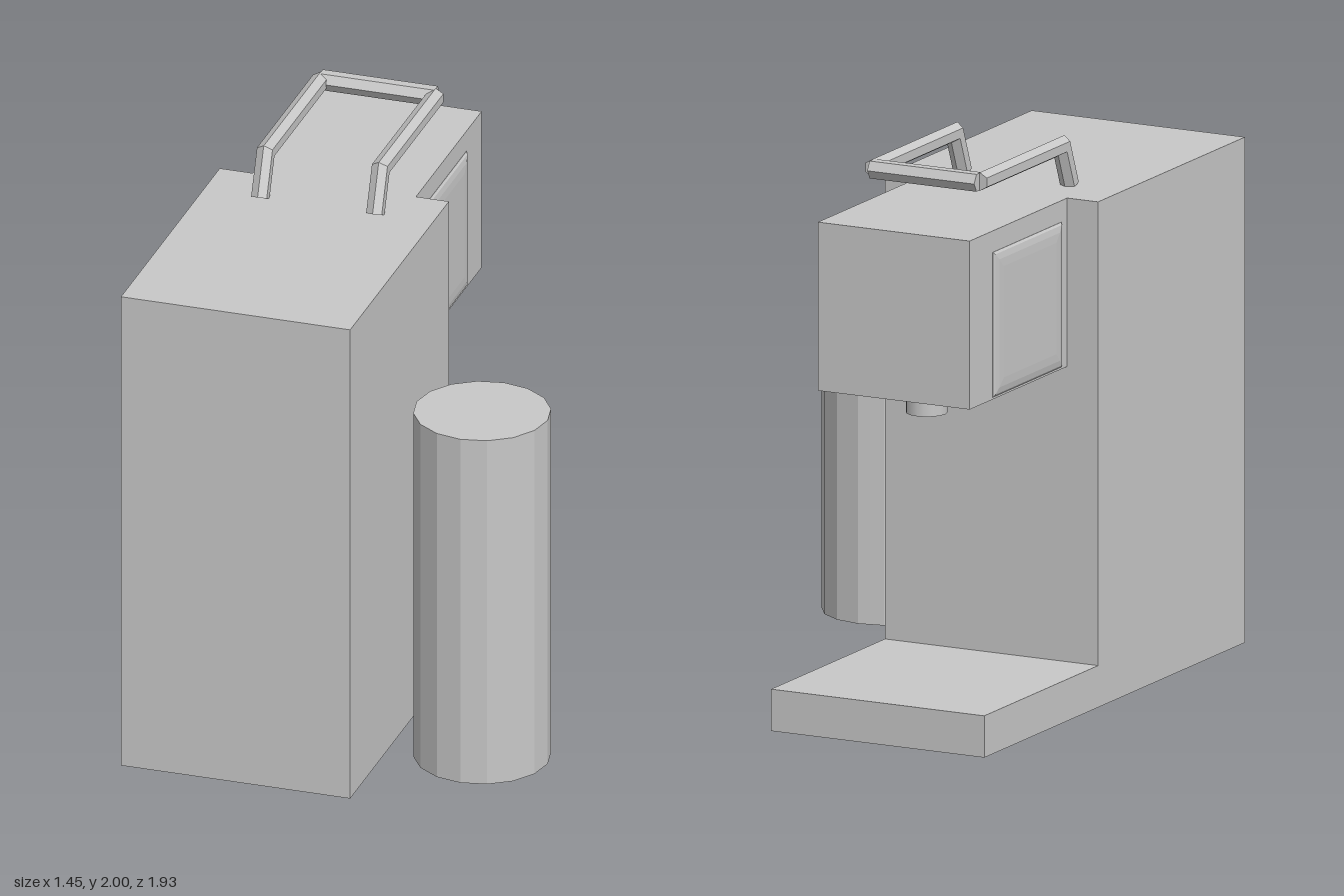
import * as THREE from 'three';

const grey = new THREE.MeshStandardMaterial({ color: 0xc8c8c8 });
grey.name = 'light grey';

function add(parent, name, geometry, x = 0, y = 0, z = 0) {
  const mesh = new THREE.Mesh(geometry, grey);
  mesh.name = name;
  mesh.position.set(x, y, z);
  parent.add(mesh);
  return mesh;
}

// Gives every face its own flat normal
function faceted(geometry) {
  const flat = geometry.toNonIndexed();
  flat.computeVertexNormals();
  return flat;
}

// Hexagonal rod with mitred bends; path points are [y, z]
function bentRod(path, radius) {
  const pts = path.map(([y, z]) => new THREE.Vector3(0, y, z));
  const n = pts.length - 1;
  const xAxis = new THREE.Vector3(1, 0, 0);
  const dirs = pts.slice(1).map((p, i) => p.clone().sub(pts[i]).normalize());
  const normals = pts.map((p, i) => {
    const a = dirs[Math.max(i - 1, 0)].clone().cross(xAxis);
    const b = dirs[Math.min(i, n - 1)].clone().cross(xAxis);
    const mitre = a.clone().add(b).normalize();
    return mitre.divideScalar(mitre.dot(a));
  });
  const geo = new THREE.CylinderGeometry(radius, radius, 1, 6, n);
  const pos = geo.attributes.position;
  for (let i = 0; i < pos.count; i++) {
    const ring = Math.round((0.5 - pos.getY(i)) * n);
    const v = pts[ring].clone().addScaledVector(normals[ring], pos.getZ(i));
    pos.setXYZ(i, pos.getX(i), v.y, v.z);
  }
  return faceted(geo);
}

// Slightly domed panel with rounded corners, facing +z
function domedPanel(w, h, bevel, bulge) {
  const a = w / 2 - bevel, b = h / 2 - bevel;
  const shape = new THREE.Shape([
    new THREE.Vector2(-a, -b), new THREE.Vector2(a, -b),
    new THREE.Vector2(a, b), new THREE.Vector2(-a, b),
  ]);
  return new THREE.ExtrudeGeometry(shape, {
    depth: 0.001, bevelEnabled: true, bevelSize: bevel, bevelThickness: bulge, bevelSegments: 3,
  });
}

export function createModel() {
  const model = new THREE.Group();
  model.name = 'coffeeMachine';

  // L-shaped housing: tall body and drip base in one profile (horizontal axis is -z)
  const profile = new THREE.Shape([
    [-0.97, 0], [0.965, 0], [0.965, 0.15], [0.12, 0.15], [0.12, 1.815], [-0.97, 1.815],
  ].map(([x, y]) => new THREE.Vector2(x, y)));
  const housing = new THREE.ExtrudeGeometry(profile, { depth: 0.843, bevelEnabled: false });
  housing.rotateY(Math.PI / 2);
  add(model, 'housing', housing, -0.725);

  // Brewing head with domed side panels and spout
  const head = new THREE.Group();
  head.name = 'brewHead';
  model.add(head);
  add(head, 'headBox', new THREE.BoxGeometry(0.6, 0.605, 0.745), -0.303, 1.5125, -0.4725);
  for (const side of [-1, 1]) {
    const panel = add(head, side > 0 ? 'leftPanel' : 'rightPanel',
      domedPanel(0.51, 0.52, 0.06, 0.012), -0.303 + side * 0.3, 1.478, -0.42);
    panel.rotation.y = side * Math.PI / 2;
  }
  add(head, 'spout', new THREE.CylinderGeometry(0.073, 0.073, 0.11, 16), -0.303, 1.17, -0.6);

  // Handle: two bent arms and a crossbar
  const handle = new THREE.Group();
  handle.name = 'handle';
  model.add(handle);
  for (const x of [-0.515, -0.092]) {
    add(handle, 'handleArm', bentRod([[1.818, 0.062], [1.967, 0.002], [1.967, -0.605]], 0.033), x);
  }
  const bar = new THREE.CylinderGeometry(0.036, 0.036, 0.423, 6);
  bar.rotateZ(Math.PI / 2);
  add(handle, 'handleBar', faceted(bar), -0.3035, 1.967, -0.61);

  // Separate water canister, sixteen-sided
  add(model, 'canister', faceted(new THREE.CylinderGeometry(0.241, 0.241, 1.33, 16)), 0.482, 0.725, 0.605);

  return model;
}
